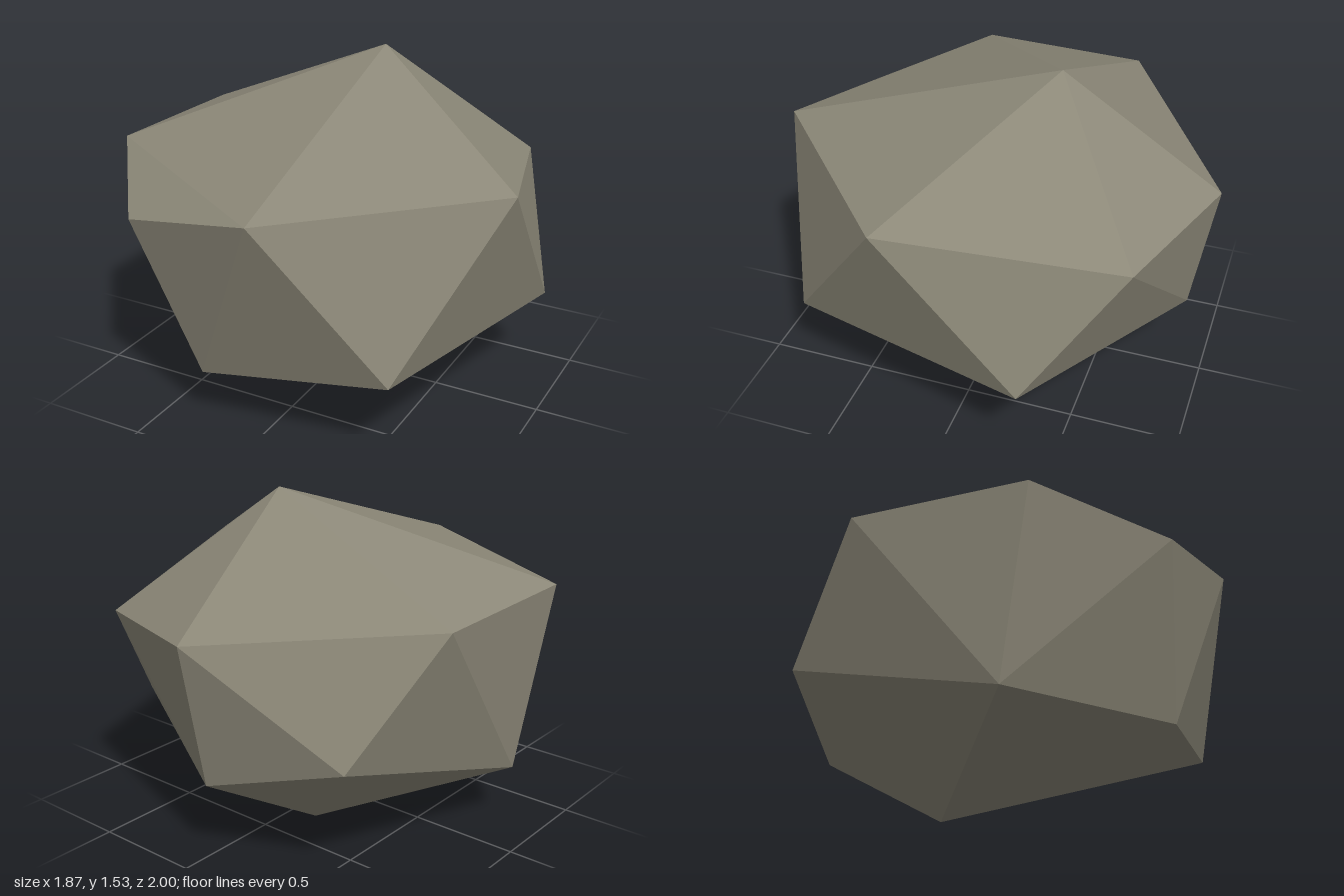
import * as THREE from 'three';

// Corner points of the boulder, from top to bottom
const peak = [0.07, 1.53, -0.29];
const base = [-0.125, 0, -0.29];
// Shoulder ring, counterclockwise seen from above, starting at the front
const shoulder = [
  [0.10, 1.11, 1.0], [0.93, 1.125, 0.25], [0.64, 0.97, -0.765],
  [-0.01, 1.01, -1.0], [-0.925, 1.11, -0.41], [-0.935, 1.125, 0.38],
];
// Lower ring; its first point sits right of the front shoulder point
const foot = [
  [0.61, 0.41, 0.765], [0.89, 0.41, -0.36], [-0.04, 0.365, -0.90],
  [-0.68, 0.56, -0.77], [-0.855, 0.28, 0.23], [-0.275, 0.265, 0.80],
];
// Extra corner on the front left
const chip = [-0.555, 0.97, 0.88];

function boulderGeometry() {
  const points = [];
  const tri = (a, b, c) => points.push(...a, ...b, ...c);

  for (let i = 0; i < 6; i++) {
    const j = (i + 1) % 6;
    tri(peak, shoulder[i], shoulder[j]); // cap
    tri(base, foot[j], foot[i]); // underside
    if (i < 5) {
      // zigzag side band
      tri(shoulder[i], foot[i], shoulder[j]);
      if (i < 4) tri(shoulder[j], foot[i], foot[j]);
    }
  }
  // Front side facets around the extra corner
  const [front, left] = [shoulder[0], shoulder[5]];
  tri(front, foot[5], foot[0]);
  tri(left, chip, front);
  tri(chip, foot[5], front);
  tri(chip, foot[4], foot[5]);
  tri(left, foot[4], chip);

  const geometry = new THREE.BufferGeometry();
  geometry.setAttribute('position', new THREE.Float32BufferAttribute(points, 3));
  geometry.computeVertexNormals(); // unshared corners give flat facets
  return geometry;
}

export function createModel() {
  const stone = new THREE.MeshStandardMaterial({ color: 0x8c8878, flatShading: true });
  stone.name = 'stone grey';

  const boulder = new THREE.Mesh(boulderGeometry(), stone);
  boulder.name = 'boulder';

  const group = new THREE.Group();
  group.name = 'rock';
  group.add(boulder);
  return group;
}
